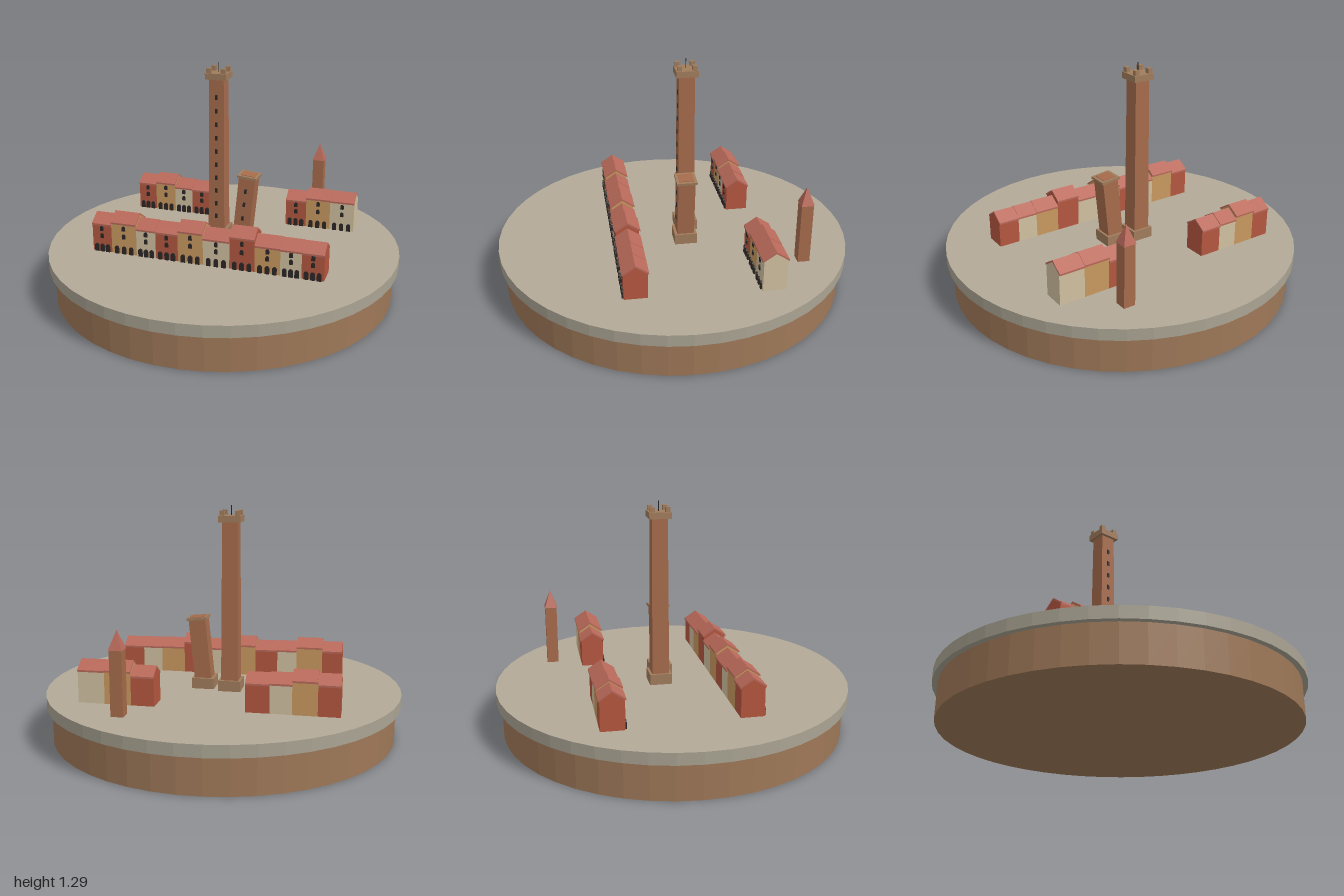
import * as THREE from 'three';

const mat = (name, color) => {
  const m = new THREE.MeshStandardMaterial({ color, flatShading: true });
  m.name = name;
  return m;
};

export function createModel() {
  const M = {
    roof: mat('roof tile', 0xb9695a), red: mat('red plaster', 0xb4573f),
    ochre: mat('ochre plaster', 0xc8995f), cream: mat('cream plaster', 0xd0c0a0),
    brick: mat('brick', 0xa66b4b), trim: mat('trim stone', 0xa07c5c),
    drum: mat('drum wood', 0x9e7858), rim: mat('rim stone', 0xa9a392),
    ground: mat('ground paving', 0xb4a997), dark: mat('dark openings', 0x2c2726),
  };
  const model = new THREE.Group();
  model.name = 'towerCityDiorama';
  const add = (parent, name, geo, material, x = 0, y = 0, z = 0) => {
    const mesh = new THREE.Mesh(geo, material);
    mesh.name = name;
    mesh.position.set(x, y, z);
    parent.add(mesh);
    return mesh;
  };
  const group = (parent, name, x = 0, y = 0, z = 0) => {
    const g = new THREE.Group();
    g.name = name;
    g.position.set(x, y, z);
    parent.add(g);
    return g;
  };
  const box = (w, h, d) => new THREE.BoxGeometry(w, h, d);
  const polygon = (pts) => new THREE.Shape(pts.map(([x, y]) => new THREE.Vector2(x, y)));
  // square column, standing on its origin
  const column = (bottom, top, h) =>
    new THREE.CylinderGeometry(top * Math.SQRT1_2, bottom * Math.SQRT1_2, h, 4)
      .rotateY(Math.PI / 4).translate(0, h / 2, 0);
  // cross-section in z and y, swept along x
  const sweep = (pts, w) =>
    new THREE.ExtrudeGeometry(polygon(pts), { depth: w, bevelEnabled: false })
      .translate(0, 0, -w / 2).rotateY(Math.PI / 2);
  const archGeometry = (w, h, d) => {
    const s = new THREE.Shape();
    s.moveTo(-w / 2, 0);
    s.lineTo(w / 2, 0);
    s.lineTo(w / 2, h - w / 2);
    s.absarc(0, h - w / 2, w / 2, 0, Math.PI, false);
    s.lineTo(-w / 2, 0);
    return new THREE.ExtrudeGeometry(s, { depth: d, bevelEnabled: false, curveSegments: 4 });
  };

  // Round stand
  const FLOOR = 0.265;
  add(model, 'drum', new THREE.CylinderGeometry(0.97, 0.97, 0.2, 48), M.drum, 0, 0.1, 0);
  add(model, 'plate', new THREE.CylinderGeometry(1, 1, 0.065, 48),
    [M.rim, M.ground, M.rim], 0, 0.2325, 0);

  // Everything on the stand shares one street grid, turned 20 degrees
  const city = group(model, 'city', 0, FLOOR, 0);
  city.rotation.y = -Math.PI / 9;

  // Terraced houses
  const D = 0.063, RISE = 0.042;
  const arch = archGeometry(0.024, 0.045, 0.008);
  const pane = archGeometry(0.02, 0.028, 0.006);
  const house = (parent, w, h, plaster, x) => {
    const g = group(parent, 'house', x, 0, 0);
    add(g, 'walls', sweep([[-D, 0], [D, 0], [D, h], [0, h + RISE], [-D, h]], w), plaster);
    const e = D + 0.007, drop = RISE * 0.007 / D;
    add(g, 'roof', sweep([[-e, h - drop], [0, h + RISE], [e, h - drop],
      [e, h - drop + 0.01], [0, h + RISE + 0.01], [-e, h - drop + 0.01]], w), M.roof);
    for (const k of [-1, 0, 1]) add(g, 'arcadeArch', arch, M.dark, k * w * 0.29, 0, D);
    for (const f of [0.5, 0.77]) add(g, 'window', pane, M.dark, 0, h * f, D);
  };
  const plasters = [M.red, M.ochre, M.cream];
  const row = (name, x0, z, houses) => {
    const g = group(city, name, 0, 0, z);
    let x = x0;
    houses.forEach(([w, h], i) => {
      house(g, w, h, plasters[i % 3], x + w / 2);
      x += w;
    });
  };
  row('frontTerrace', -0.66, 0.288, [
    [0.115, 0.16], [0.15, 0.178], [0.115, 0.155], [0.13, 0.152], [0.145, 0.175],
    [0.15, 0.15], [0.14, 0.18], [0.14, 0.148], [0.115, 0.145], [0.12, 0.143]]);
  row('sideTerrace', 0.277, -0.43, [[0.125, 0.155], [0.145, 0.178], [0.145, 0.175]]);
  row('backTerrace', -0.69, -0.432, [[0.115, 0.16], [0.13, 0.175], [0.115, 0.155], [0.125, 0.15]]);

  // Tall tower with battlements
  const tall = group(city, 'tallTower', -0.058, 0, -0.085);
  add(tall, 'plinth', column(0.125, 0.125, 0.06), M.trim);
  add(tall, 'shaft', column(0.097, 0.086, 0.94), M.brick);
  add(tall, 'parapet', box(0.122, 0.035, 0.122), M.trim, 0, 0.955, 0);
  for (const x of [-1, 1]) for (const z of [-1, 1])
    add(tall, 'merlon', box(0.025, 0.027, 0.025), M.trim, x * 0.042, 0.986, z * 0.042);
  add(tall, 'mast', new THREE.CylinderGeometry(0.002, 0.002, 0.055, 6), M.dark, 0, 1, 0);
  for (let i = 0; i < 10; i++) {
    const y = 0.135 + i * 0.078;
    add(tall, 'slitWindow', box(0.014, 0.026, 0.008), M.dark, 0, y, 0.0485 - 0.0055 * y / 0.94);
  }

  // Short leaning tower
  const short = group(city, 'leaningTower', 0.098, 0, -0.056);
  add(short, 'plinth', column(0.125, 0.125, 0.06), M.trim);
  const lean = group(short, 'leaningShaft', 0, 0.04, 0);
  lean.rotation.z = -0.1;
  add(lean, 'shaft', column(0.095, 0.095, 0.352), M.brick);
  add(lean, 'topSlab', box(0.114, 0.014, 0.114), M.trim, 0, 0.358, 0);
  add(lean, 'roofFloor', box(0.08, 0.004, 0.08), M.brick, 0, 0.366, 0);
  for (const y of [0.11, 0.195, 0.275])
    add(lean, 'slitWindow', box(0.014, 0.026, 0.006), M.dark, 0, y, 0.0475);

  // Bell tower with a pointed roof
  const bell = group(city, 'bellTower', 0.414, 0, -0.661);
  add(bell, 'shaft', column(0.066, 0.066, 0.342), M.brick);
  add(bell, 'spire', column(0.072, 0, 0.1), M.roof, 0, 0.342, 0);

  // Dark underside of the stand
  return model;
}
